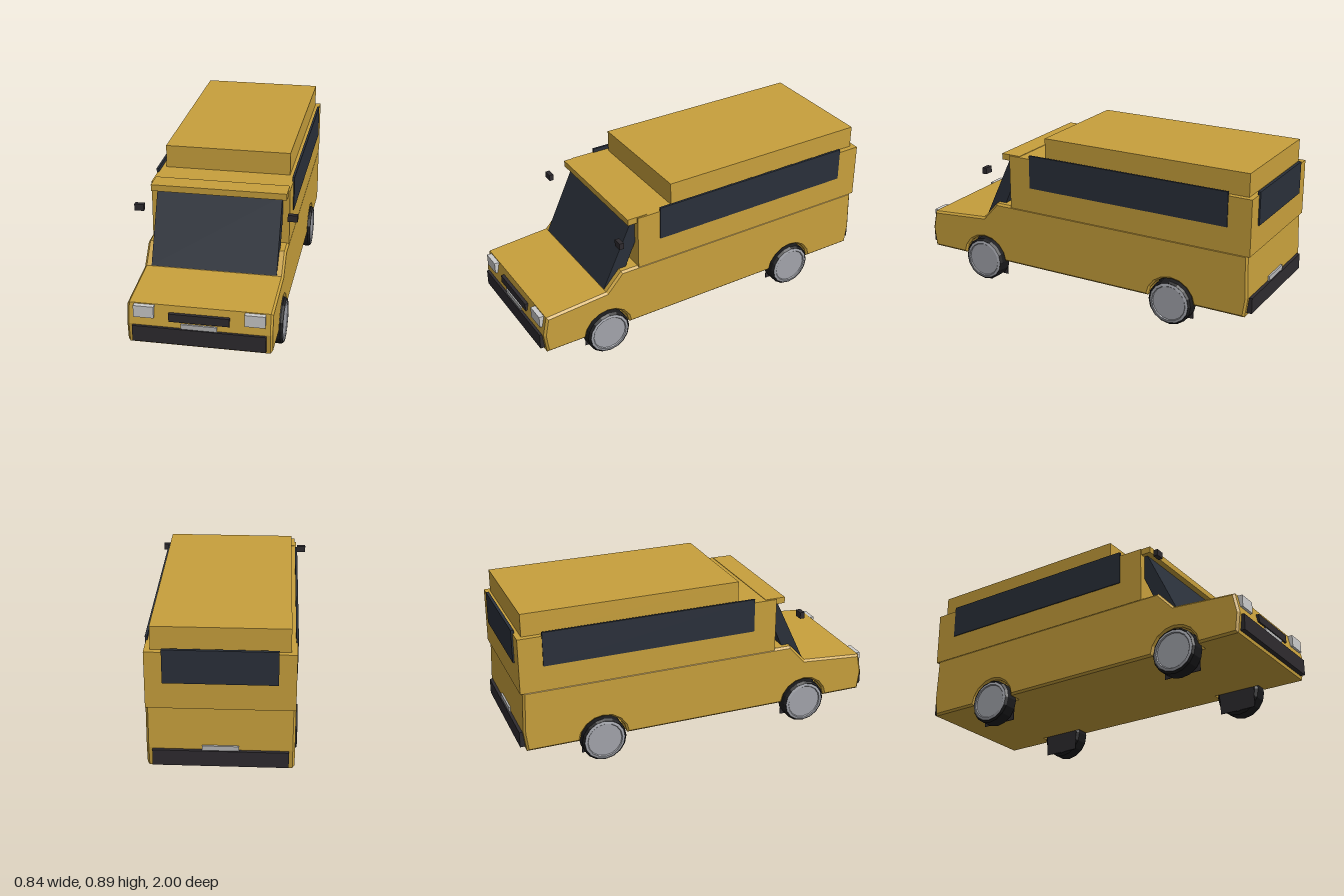
import * as THREE from 'three';

const paint = (color) => new THREE.MeshStandardMaterial({ color, flatShading: true });

export function createModel() {
  const van = new THREE.Group();
  van.name = 'van';
  const yellow = paint(0xc8a03c), glass = paint(0x2a303a), black = paint(0x2e2b2f);
  const rubber = paint(0x1c1c1e), rim = paint(0xa2a4ab), pale = paint(0xd6d6d2), plateGrey = paint(0xb8b8b8);

  const add = (name, geometry, material, parent = van) => {
    const mesh = new THREE.Mesh(geometry, material);
    mesh.name = name;
    parent.add(mesh);
    return mesh;
  };
  // Box given by its extents on each axis
  const box = (name, material, [x0, x1], [y0, y1], [z0, z1], parent = van) => {
    const mesh = add(name, new THREE.BoxGeometry(x1 - x0, y1 - y0, z1 - z0), material, parent);
    mesh.position.set((x0 + x1) / 2, (y0 + y1) / 2, (z0 + z1) / 2);
    return mesh;
  };
  // Side profile in (z, y), extruded across the width and centred on x
  const across = (points, width, bevel = 0) => {
    const shape = new THREE.Shape(points.map(([z, y]) => new THREE.Vector2(z, y)));
    const depth = width - 2 * bevel;
    return new THREE.ExtrudeGeometry(shape, {
      depth, bevelEnabled: bevel > 0, bevelSize: bevel, bevelThickness: bevel,
      bevelOffset: -bevel, bevelSegments: 1,
    }).translate(0, 0, -depth / 2).rotateY(-Math.PI / 2);
  };

  const axles = [-0.555, 0.62], wheelY = 0.122, floorY = 0.132;

  // Lower body with polygonal wheel arches cut into its bottom edge
  const profile = [[-0.97, floorY]];
  const archR = 0.132, start = Math.asin((floorY - wheelY) / archR);
  for (const z of axles) {
    for (let i = 0; i <= 8; i++) {
      const a = Math.PI - start - (i / 8) * (Math.PI - 2 * start);
      profile.push([z + archR * Math.cos(a), wheelY + archR * Math.sin(a)]);
    }
  }
  profile.push([0.973, floorY], [0.987, 0.24], [0.965, 0.346], [0.62, 0.373],
    [0.53, 0.472], [-0.975, 0.472], [-0.984, 0.24]);
  add('lowerBody', across(profile, 0.724, 0.011), yellow);
  box('floor', yellow, [-0.28, 0.28], [floorY, 0.3], [-0.95, 0.95]);

  // Cabin, raised roof and brow over the windscreen
  box('upperBody', yellow, [-0.362, 0.362], [0.465, 0.765], [-0.988, 0.43]);
  box('raisedRoof', yellow, [-0.333, 0.333], [0.76, 0.886], [-0.96, 0.218]);
  box('roofBrow', yellow, [-0.353, 0.353], [0.734, 0.768], [0.37, 0.483]);

  // Glazing
  add('windscreen', across([[0.53, 0.375], [0.62, 0.375], [0.448, 0.74], [0.37, 0.74]], 0.652), glass);
  box('rearWindow', glass, [-0.277, 0.277], [0.605, 0.782], [-0.996, -0.98]);

  // Nose and tail fittings
  box('grille', black, [-0.151, 0.151], [0.268, 0.311], [0.96, 0.99]);
  for (const [end, s] of [['front', 1], ['rear', -1]]) {
    const span = (a, b) => (s > 0 ? [a, b] : [-b, -a]);
    box(end + 'Bumper', black, [-0.333, 0.333], [0.15, 0.235], span(0.965, 1));
    box(end + 'Plate', plateGrey, [-0.09, 0.09], [0.2, 0.26], span(0.965, 0.993));
  }

  // Wheel: tyre, rim disc and square inner backing plate, axis along x facing outward
  const turned = (points, sides) => new THREE.LatheGeometry(
    points.map(([r, h]) => new THREE.Vector2(r, h)), sides).rotateZ(-Math.PI / 2);
  const tyre = turned([[0, -0.044], [0.108, -0.046], [0.122, -0.034], [0.122, 0.034],
    [0.113, 0.046], [0.108, 0.04]], 16);
  const disc = turned([[0.112, 0.043], [0.097, 0.047], [0.093, 0.042], [0, 0.042]], 16);

  for (const [side, s] of [['left', 1], ['right', -1]]) {
    const span = (a, b) => (s > 0 ? [a, b] : [-b, -a]);
    box(side + 'Window', glass, span(0.355, 0.367), [0.602, 0.786], [-0.862, 0.3]);
    box(side + 'Headlight', pale, span(0.225, 0.327), [0.28, 0.342], [0.955, 0.992]);
    box(side + 'Mirror', black, span(0.37, 0.42), [0.657, 0.692], [0.545, 0.57]);
    axles.forEach((z, i) => {
      const wheel = new THREE.Group();
      wheel.name = side + (i ? 'FrontWheel' : 'RearWheel');
      add('tyre', tyre, rubber, wheel);
      add('rim', disc, rim, wheel);
      box('backingPlate', black, [-0.047, -0.043], [-0.102, 0.102], [-0.102, 0.102], wheel);
      wheel.position.set(s * 0.331, wheelY, z);
      wheel.rotation.y = s > 0 ? 0 : Math.PI;
      van.add(wheel);
    });
  }
  return van;
}
